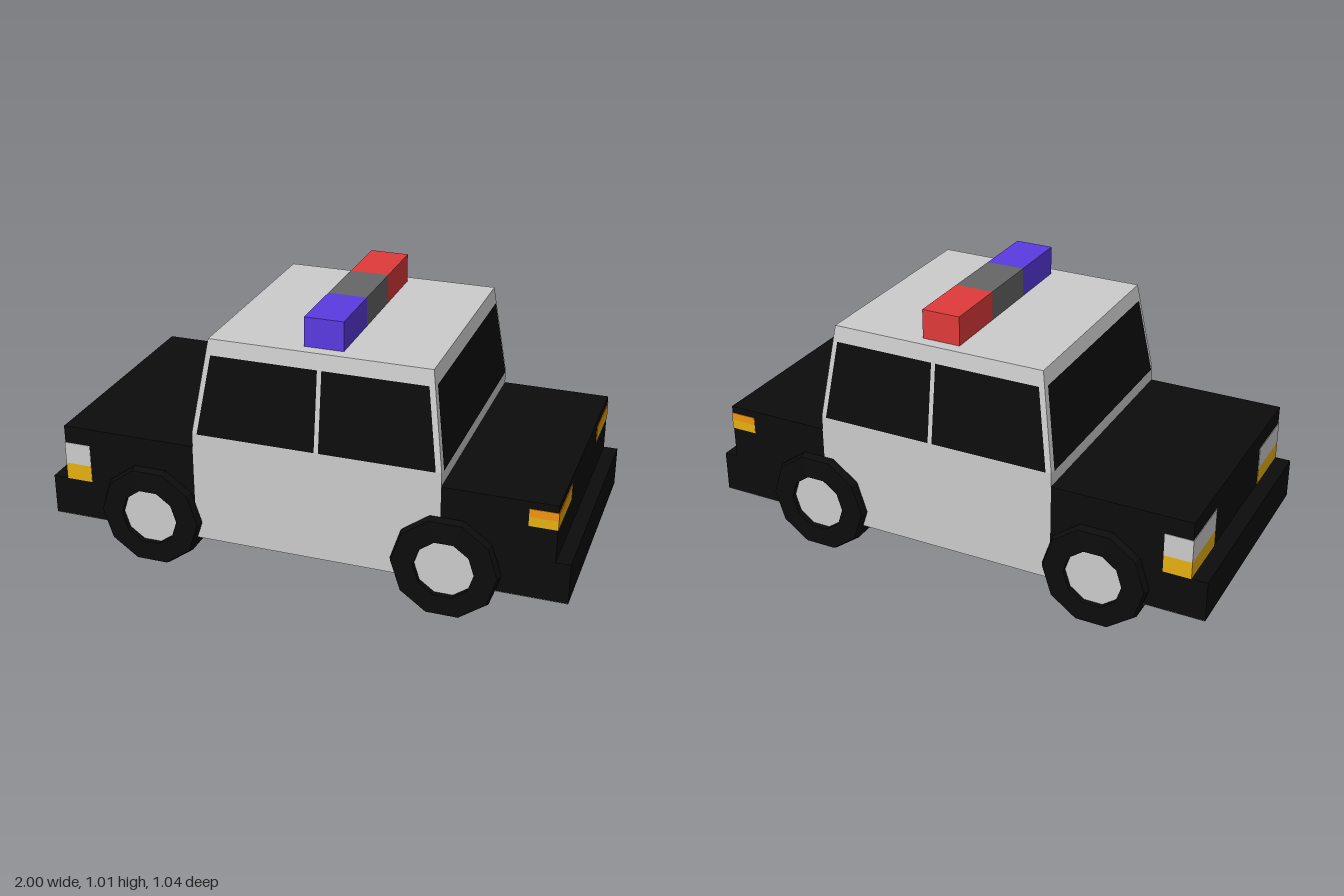
import * as THREE from 'three';

const mat = (color) => new THREE.MeshStandardMaterial({ color, flatShading: true });

export function createModel() {
  const light = mat(0xcccccc), black = mat(0x0c0c0c), glass = mat(0x0c0c0c);
  const orange = mat(0xf0940f), yellow = mat(0xe6b010);
  const car = new THREE.Group();
  car.name = 'patrolCar';

  const add = (name, geometry, material, parent = car) => {
    const mesh = new THREE.Mesh(geometry, material);
    mesh.name = name;
    parent.add(mesh);
    return mesh;
  };
  // Box given by its minimum and maximum on each axis
  const box = (name, material, [x0, x1], [y0, y1], [z0, z1]) => {
    const mesh = add(name, new THREE.BoxGeometry(x1 - x0, y1 - y0, z1 - z0), material);
    mesh.position.set((x0 + x1) / 2, (y0 + y1) / 2, (z0 + z1) / 2);
    return mesh;
  };

  const W = 0.463, FLOOR = 0.127, SILL = 0.55, ROOF = 0.905;

  // Bonnet and boot, each with a stepped bumper
  const endBlock = (name, inner, outer, bumper) => {
    const pts = [[inner, FLOOR], [bumper, FLOOR], [bumper, 0.28], [outer, 0.28], [outer, 0.497], [inner, 0.497]];
    const shape = new THREE.Shape(pts.map(([x, y]) => new THREE.Vector2(x, y)));
    const geo = new THREE.ExtrudeGeometry(shape, { depth: 2 * W, bevelEnabled: false });
    add(name, geo.translate(0, 0, -W), black);
  };
  endBlock('bonnet', 0.523, 0.93, 0.983);
  endBlock('boot', -0.403, -0.923, -0.983);
  box('doors', light, [-0.403, 0.523], [FLOOR, SILL], [-W, W]);
  box('underside', light, [-0.982, 0.982], [FLOOR - 0.003, FLOOR + 0.001], [-W + 0.001, W - 0.001]);

  // Cabin: section limits at a given height, tapering to the roof
  const section = (y) => {
    const t = (y - SILL) / (ROOF - SILL), mix = THREE.MathUtils.lerp;
    return { x0: mix(-0.403, -0.346, t), x1: mix(0.523, 0.473, t), z: mix(W, 0.415, t) };
  };
  const cabinGeo = new THREE.BoxGeometry(1, 1, 1);
  const p = cabinGeo.attributes.position;
  for (let i = 0; i < p.count; i++) {
    const y = p.getY(i) > 0 ? ROOF : SILL, s = section(y);
    p.setXYZ(i, p.getX(i) > 0 ? s.x1 : s.x0, y, Math.sign(p.getZ(i)) * s.z);
  }
  cabinGeo.computeVertexNormals();
  add('cabin', cabinGeo, light);

  // Window panes, each a quad lying just outside the cabin wall
  const pane = (name, corners) => {
    const geo = new THREE.BufferGeometry();
    geo.setAttribute('position', new THREE.Float32BufferAttribute(corners.flat(), 3));
    geo.setIndex([0, 1, 2, 0, 2, 3]);
    geo.computeVertexNormals();
    add(name, geo, glass).material.side = THREE.DoubleSide;
  };
  const y0 = SILL, y1 = 0.847, a = section(y0), b = section(y1), out = 0.003, post = 0.02;
  for (const s of [1, -1]) {
    const za = s * (a.z + out), zb = s * (b.z + out);
    const quad = (l0, r0, r1, l1) => {
      const q = [[l0, y0, za], [r0, y0, za], [r1, y1, zb], [l1, y1, zb]];
      return s > 0 ? q : q.reverse();
    };
    pane('rearSideWindow', quad(a.x0 + post, 0.062, 0.062, b.x0 + post));
    pane('frontSideWindow', quad(0.078, a.x1 - post, b.x1 - post, 0.078));
  }
  const za = a.z - post, zb = b.z - post;
  pane('windscreen', [[a.x1 + out, y0, za], [a.x1 + out, y0, -za], [b.x1 + out, y1, -zb], [b.x1 + out, y1, zb]]);
  pane('rearWindow', [[a.x0 - out, y0, -za], [a.x0 - out, y0, za], [b.x0 - out, y1, zb], [b.x0 - out, y1, -zb]]);

  // Corner lamps wrapping round the sides
  for (const s of [1, -1]) {
    const z = s > 0 ? [0.235, W + 0.002] : [-W - 0.002, -0.235];
    box('headlampTop', orange, [0.83, 0.932], [0.44, 0.47], z);
    box('headlampBottom', yellow, [0.83, 0.932], [0.405, 0.44], z);
    box('tailLampTop', light, [-0.925, -0.822], [0.345, 0.43], z);
    box('tailLampBottom', yellow, [-0.925, -0.822], [0.28, 0.345], z);
  }

  // Roof light bar in three segments
  [['redBeacon', 0xe03a3a], ['beaconCentre', 0x666666], ['blueBeacon', 0x5a3ae0]].forEach(([name, color], i) => {
    const z = -0.37 + i * 0.2467;
    box(name, mat(color), [-0.005, 0.14], [ROOF, 1.014], [z, z + 0.2467]);
  });

  // Ten-sided wheels: hollow tyre with a recessed hub
  const profile = [[0.11, -0.0875], [0.192, -0.084], [0.2, -0.065], [0.2, 0.065], [0.192, 0.084], [0.11, 0.0875], [0.11, -0.0875]];
  const tyreGeo = new THREE.LatheGeometry(profile.map(([r, y]) => new THREE.Vector2(r, y)), 10);
  tyreGeo.rotateY(Math.PI / 2).rotateX(Math.PI / 2);
  const hubGeo = new THREE.CylinderGeometry(0.11, 0.11, 0.135, 10);
  hubGeo.rotateY(Math.PI / 2).rotateX(Math.PI / 2);
  for (const [x, end] of [[0.547, 'front'], [-0.578, 'rear']]) {
    for (const s of [1, -1]) {
      const wheel = new THREE.Group();
      wheel.name = end + 'Wheel';
      add('tyre', tyreGeo, black, wheel);
      add('hub', hubGeo, light, wheel);
      wheel.position.set(x, 0.19, s * 0.408);
      car.add(wheel);
    }
  }

  // The car stands slightly turned
  car.rotation.y = -0.037;
  const model = new THREE.Group();
  model.add(car);
  return model;
}
